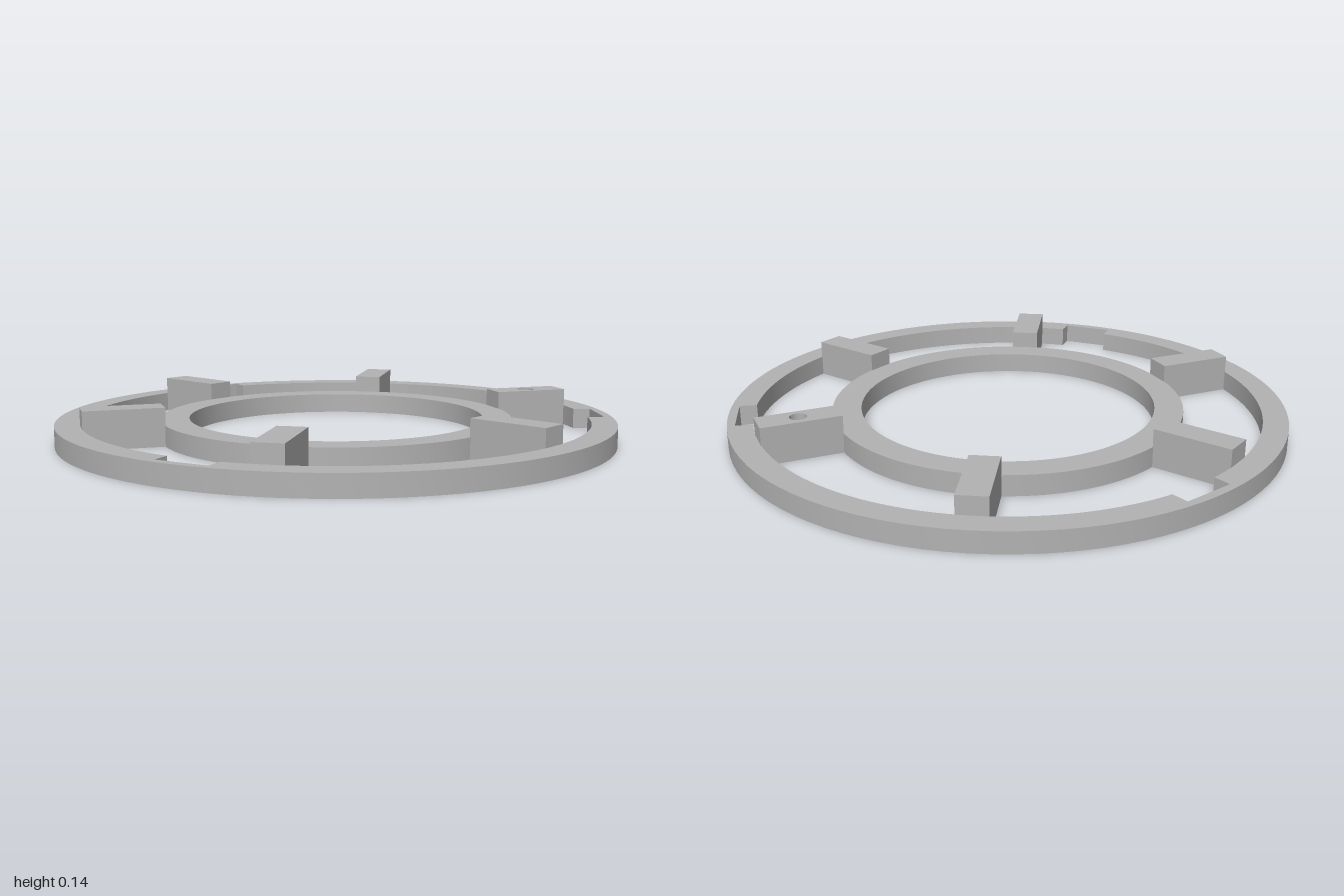
import * as THREE from 'three';
import { toCreasedNormals } from 'three/addons/utils/BufferGeometryUtils.js';

const RING_HEIGHT = 0.073, SPOKE_HEIGHT = 0.136;
const OUTER_INNER_RADIUS = 0.911;
const rad = THREE.MathUtils.degToRad;

// Extrude a plan outline upward from y = 0, smooth on curves and sharp on edges
function slab(shape, height, curveSegments) {
  const geometry = new THREE.ExtrudeGeometry(shape, { depth: height, bevelEnabled: false, curveSegments });
  geometry.rotateX(-Math.PI / 2);
  return toCreasedNormals(geometry, 0.45);
}

function circle(radius, x = 0) {
  return new THREE.Shape().absarc(x, 0, radius, 0, Math.PI * 2, false);
}

// Inner outline of the outer ring: three arcs joined by flat-bottomed notches
function notchedOutline() {
  const path = new THREE.Path();
  const halfWidth = 0.094, floor = 0.968;
  const half = Math.asin(halfWidth / OUTER_INNER_RADIUS);
  for (let i = 0; i < 3; i++) {
    const start = rad(-15 + 120 * i), end = start + rad(120);
    path.absarc(0, 0, OUTER_INNER_RADIUS, start + half, end - half, false);
    for (const t of [-halfWidth, halfWidth]) {
      path.lineTo(floor * Math.cos(end) - t * Math.sin(end), floor * Math.sin(end) + t * Math.cos(end));
    }
  }
  path.closePath();
  return path;
}

export function createModel() {
  const group = new THREE.Group();
  const grey = new THREE.MeshStandardMaterial({ color: 0xb2b2b2 });
  grey.name = 'grey';
  const add = (name, geometry) => {
    const mesh = new THREE.Mesh(geometry, grey);
    mesh.name = name;
    group.add(mesh);
    return mesh;
  };

  // Outer ring with three notches
  const outer = circle(1);
  outer.holes.push(notchedOutline());
  add('outerRing', slab(outer, RING_HEIGHT, 48));

  // Plain inner ring
  const inner = circle(0.635);
  inner.holes.push(circle(0.532));
  add('innerRing', slab(inner, RING_HEIGHT, 48));

  // Six raised spokes, the first drilled through
  for (let i = 0; i < 6; i++) {
    const outline = new THREE.Shape([
      new THREE.Vector2(0.631, -0.051), new THREE.Vector2(0.911, -0.051),
      new THREE.Vector2(0.911, 0.051), new THREE.Vector2(0.631, 0.051),
    ]);
    if (i === 0) outline.holes.push(circle(0.03, 0.771));
    const spoke = add(i === 0 ? 'drilledSpoke' : 'spoke' + i, slab(outline, SPOKE_HEIGHT, 16));
    spoke.rotation.y = rad(60 * i);
  }
  return group;
}
